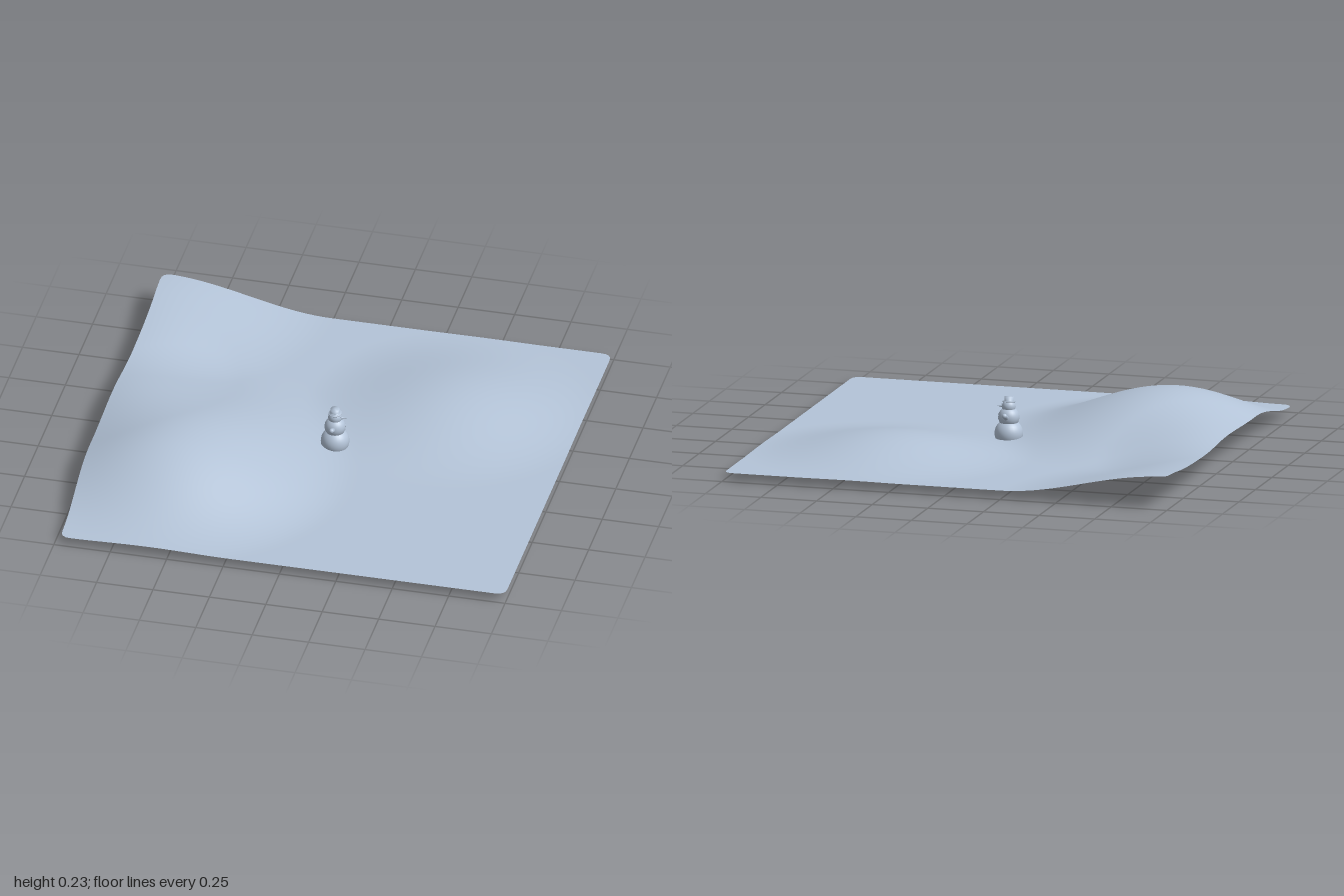
import * as THREE from 'three';

// Smooth cosine mounds: centre x, z, height, radius in x, radius to front, radius to back
const mounds = [
  [-0.6, 0.37, 0.185, 0.75, 0.72, 0.95],
  [0.43, -0.41, 0.08, 0.64, 0.64, 0.64],
  [-1, -1, 0.11, 0.75, 0.8, 0.8],
  [-1, -0.25, 0.07, 0.5, 0.6, 0.6],
];

function heightAt(x, z) {
  let h = 0;
  for (const [cx, cz, amp, rx, rFront, rBack] of mounds) {
    const d = Math.hypot((x - cx) / rx, (z - cz) / (z > cz ? rFront : rBack));
    if (d < 1) h += amp * (1 + Math.cos(Math.PI * d)) / 2;
  }
  return h;
}

// Snowfield: a grid with rounded corners, lifted by the mounds
function makeGround(material) {
  const geo = new THREE.PlaneGeometry(2, 2, 80, 80).rotateX(-Math.PI / 2);
  const p = geo.attributes.position;
  const r = 0.04, inner = 1 - r;
  for (let i = 0; i < p.count; i++) {
    let x = p.getX(i), z = p.getZ(i);
    const ox = Math.abs(x) - inner, oz = Math.abs(z) - inner;
    if (ox > 0 && oz > 0) {
      const s = Math.max(ox, oz) / Math.hypot(ox, oz);
      x = Math.sign(x) * (inner + ox * s);
      z = Math.sign(z) * (inner + oz * s);
    }
    const h = heightAt(x, z);
    // raised edges lean outward a little
    const px = x < 0 ? x * (0.976 + 0.2 * h) : x * 0.997;
    const pz = z < 0 ? z * (0.983 + 0.11 * h) : z * 0.988;
    p.setXYZ(i, px, 0.036 + h, pz);
  }
  geo.computeVertexNormals();
  const ground = new THREE.Mesh(geo, material);
  ground.name = 'snowfield';
  return ground;
}

function makeSnowman(material) {
  const man = new THREE.Group();
  man.name = 'snowman';
  const add = (name, geo, x, y, z) => {
    const m = new THREE.Mesh(geo, material);
    m.name = name;
    m.position.set(x, y, z);
    man.add(m);
    return m;
  };
  const ball = (r) => new THREE.SphereGeometry(r, 28, 20);

  // Stacked snowballs
  add('lowerBall', ball(0.062), 0, 0.062, 0);
  add('middleBall', ball(0.046), 0, 0.134, 0);
  add('head', ball(0.03), 0, 0.181, 0);

  // Stubby arms to both sides
  for (const side of [-1, 1]) {
    const arm = add(side > 0 ? 'frontArm' : 'backArm', new THREE.CapsuleGeometry(0.011, 0.034, 6, 14), 0, 0.143, side * 0.051);
    arm.rotation.x = side * 1.1;
  }

  // Nose and buttons
  const nose = add('nose', new THREE.ConeGeometry(0.007, 0.03, 14), 0.038, 0.18, 0);
  nose.rotation.z = -Math.PI / 2;
  for (const y of [0.125, 0.145]) add('button', ball(0.004), 0.045, y, 0);
  for (const z of [-0.01, 0.01]) add('eye', ball(0.0035), 0.026, 0.19, z);

  // Tilted hat
  const profile = [[0, 0], [0.028, 0], [0.028, 0.004], [0.018, 0.005], [0.02, 0.024], [0, 0.024]];
  const hatGeo = new THREE.LatheGeometry(profile.map(([x, y]) => new THREE.Vector2(x, y)), 24);
  const hat = add('hat', hatGeo, 0, 0.2, 0);
  hat.rotation.x = 0.14;

  man.position.x = 0.006;
  return man;
}

export function createModel() {
  const model = new THREE.Group();
  model.name = 'snowScene';
  const snow = new THREE.MeshStandardMaterial({ color: 0xb4c4d8, side: THREE.DoubleSide });
  snow.name = 'paleBlueSnow';
  model.add(makeGround(snow), makeSnowman(snow));
  return model;
}
